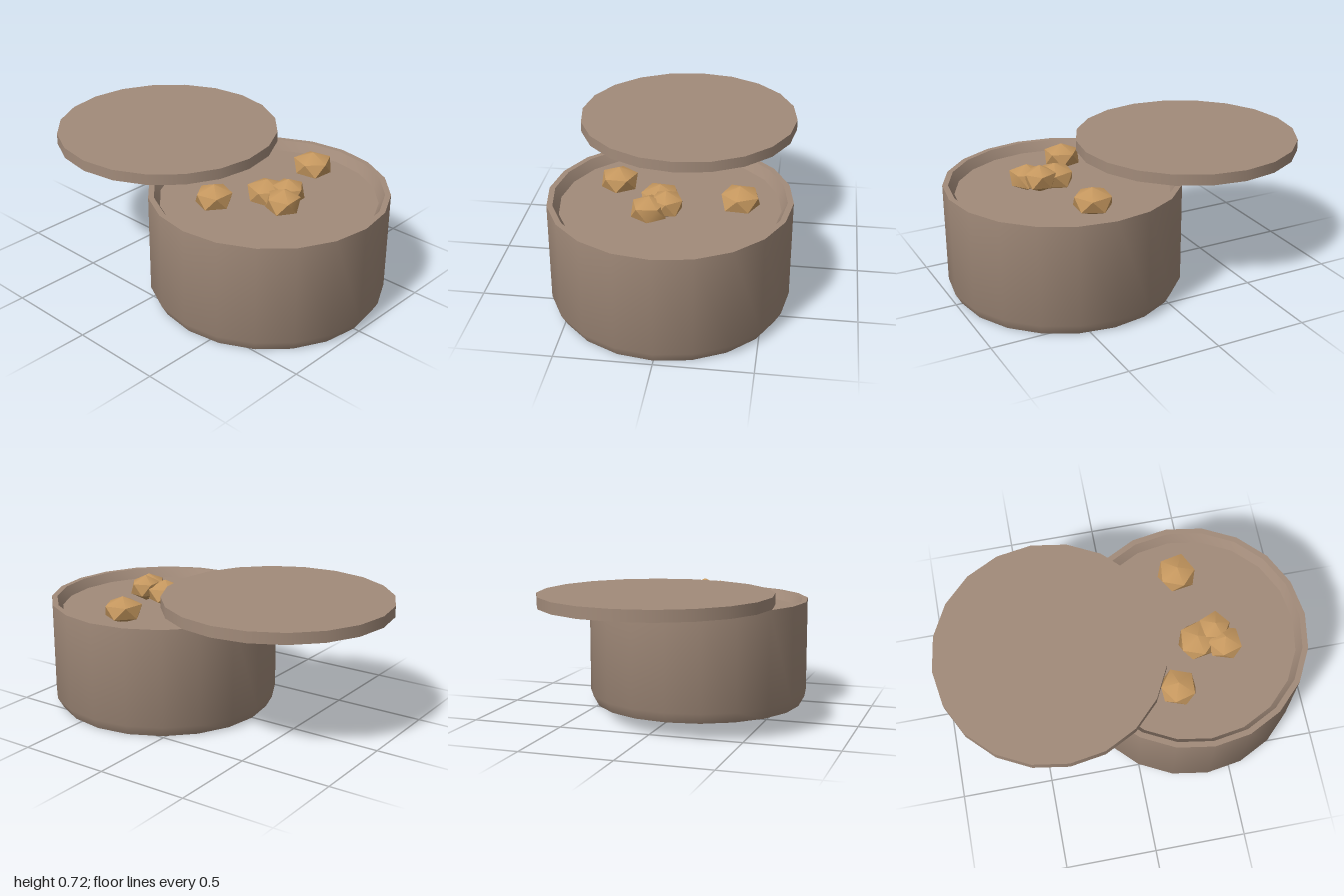
import * as THREE from 'three';
import { toCreasedNormals } from 'three/addons/utils/BufferGeometryUtils.js';

export function createModel() {
  const group = new THREE.Group();
  const clay = new THREE.MeshStandardMaterial({ color: 0xa28b7a });
  clay.name = 'clay brown';
  const gold = new THREE.MeshStandardMaterial({ color: 0xc6985f });
  gold.name = 'nugget tan';

  const add = (name, geometry, material, x, y, z) => {
    const mesh = new THREE.Mesh(geometry, material);
    mesh.name = name;
    mesh.position.set(x, y, z);
    group.add(mesh);
    return mesh;
  };

  // Pot: bevelled foot, straight wall, narrow rim and a shallow filled top
  const profile = [
    [0, 0], [0.6, 0], [0.633, 0.06], [0.633, 0.602],
    [0.603, 0.602], [0.573, 0.55], [0, 0.55],
  ].map(([r, y]) => new THREE.Vector2(r, y));
  add('pot', toCreasedNormals(new THREE.LatheGeometry(profile, 20), 0.6), clay, 0.367, 0, 0);

  // Lid: thin disc slid off to the side
  add('lid', new THREE.CylinderGeometry(0.615, 0.615, 0.06, 20), clay, -0.385, 0.694, 0);

  // Nuggets: flattened, slightly irregular icosahedra standing on a point
  const nugget = (seed) => {
    const g = new THREE.IcosahedronGeometry(1, 0);
    g.rotateX(-Math.atan((1 + Math.sqrt(5)) / 2));
    const p = g.attributes.position;
    const v = new THREE.Vector3();
    for (let i = 0; i < p.count; i++) {
      v.fromBufferAttribute(p, i);
      const k = 1 + 0.06 * Math.sin(seed * 2.3 + 5 * v.x + 7 * v.z + 3 * v.y);
      p.setXYZ(i, v.x * k, v.y, v.z * k);
    }
    return g;
  };
  // x, z, radius, top height, turn
  const nuggets = [
    [0.37, -0.36, 0.11, 0.682, 0.2],
    [0.245, 0.285, 0.11, 0.685, 0.9],
    [0.395, 0.045, 0.112, 0.678, 1.5],
    [0.54, 0.08, 0.1, 0.685, 2.2],
    [0.5, 0.0, 0.095, 0.7, 2.9],
  ];
  nuggets.forEach(([x, z, r, top, turn], i) => {
    const h = 0.074;
    const g = nugget(i + 1).scale(r, h, r);
    add('nugget' + (i + 1), toCreasedNormals(g, 0.7), gold, x, top - h, z).rotation.y = turn;
  });

  return group;
}
